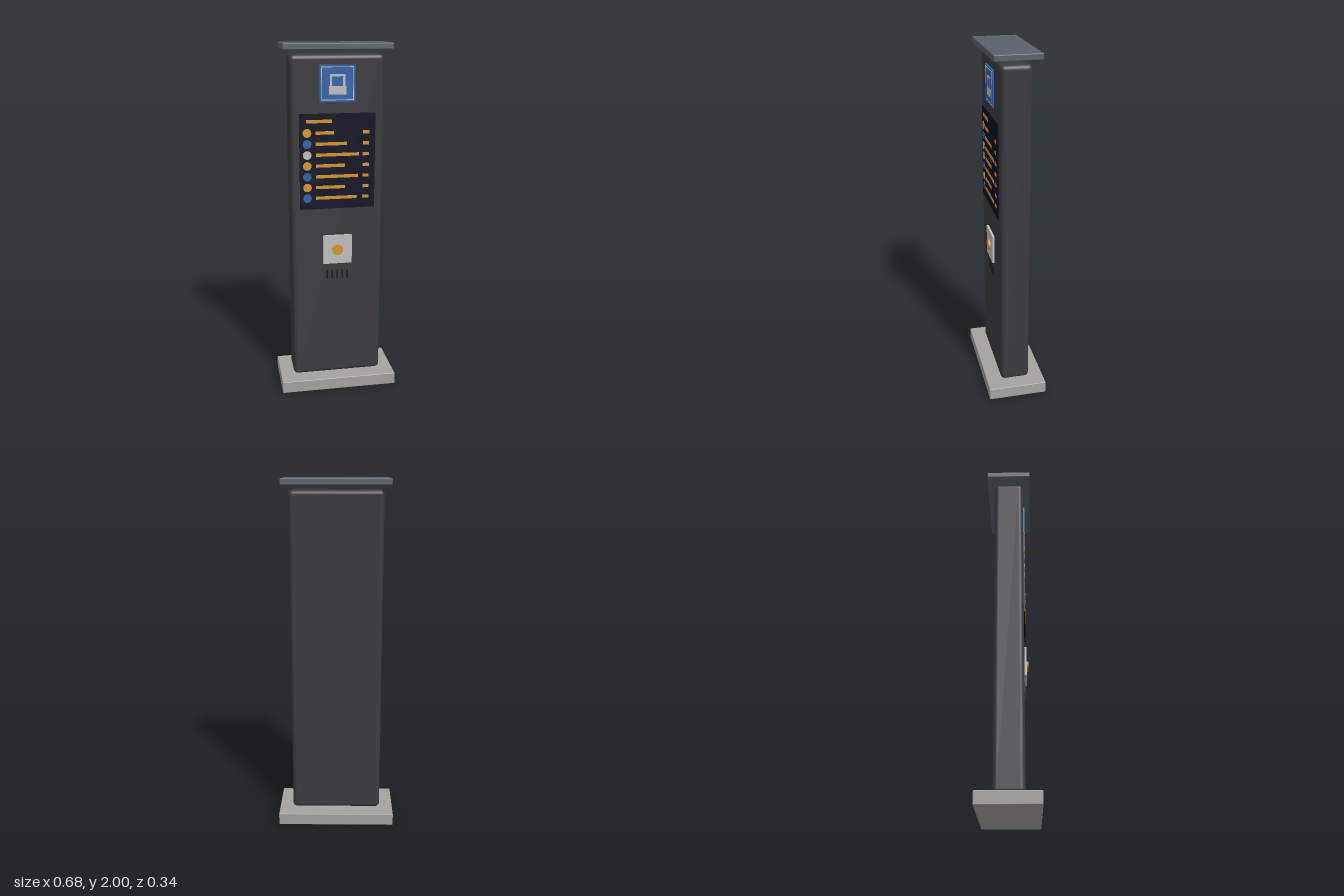
import * as THREE from 'three';
import { RoundedBoxGeometry } from 'three/addons/geometries/RoundedBoxGeometry.js';

const material = (name, color) => {
  const m = new THREE.MeshStandardMaterial({ color });
  m.name = name;
  return m;
};

export function createModel() {
  const group = new THREE.Group();
  group.name = 'informationPillar';
  const charcoal = material('charcoal', 0x3a3a40);
  const slate = material('slate', 0x58626a);
  const concrete = material('concrete', 0xa5a39f);
  const blue = material('blue', 0x2f62a8);
  const navy = material('navy', 0x0b0b22);
  const amber = material('amber', 0xd3962c);
  const silver = material('silver', 0xbfbfbf);
  const black = material('black', 0x1a1a1d);

  const add = (name, geometry, mat, x, y, z) => {
    const mesh = new THREE.Mesh(geometry, mat);
    mesh.name = name;
    mesh.position.set(x, y, z);
    group.add(mesh);
    return mesh;
  };
  // Box given by its x, y and z ranges, with optional rounding
  const box = (name, mat, x0, x1, y0, y1, z0, z1, r = 0) => {
    const size = [x1 - x0, y1 - y0, z1 - z0];
    const geometry = r ? new RoundedBoxGeometry(...size, 4, r) : new THREE.BoxGeometry(...size);
    return add(name, geometry, mat, (x0 + x1) / 2, (y0 + y1) / 2, (z0 + z1) / 2);
  };
  // Disc facing the front
  const disc = (name, mat, x, y, z0, z1, r) => {
    const geometry = new THREE.CylinderGeometry(r, r, z1 - z0, 24).rotateX(Math.PI / 2);
    return add(name, geometry, mat, x, y, (z0 + z1) / 2);
  };

  // Base, body and floating roof plate
  box('base', concrete, -0.338, 0.338, 0, 0.07, -0.169, 0.169, 0.004);
  box('body', charcoal, -0.26, 0.26, 0.07, 1.94, -0.084, 0.084, 0.025);
  box('roof', slate, -0.297, 0.297, 1.966, 2, -0.127, 0.127, 0.005);

  // Blue sign with a pale border and a bus pictogram
  const signZ = 0.093;
  box('sign', blue, -0.098, 0.098, 1.69, 1.887, 0.08, signZ);
  const border = (name, x0, x1, y0, y1) => box(name, silver, x0, x1, y0, y1, signZ - 0.001, signZ + 0.001);
  for (const s of [-1, 1]) {
    border('signBorderSide', s * 0.087 - 0.002, s * 0.087 + 0.002, 1.7, 1.877);
    border('signBorderEdge', -0.089, 0.089, 1.7885 + s * 0.087 - 0.002, 1.7885 + s * 0.087 + 0.002);
  }
  border('busBody', -0.047, 0.047, 1.73, 1.775);
  border('busRoof', -0.042, 0.042, 1.826, 1.838);
  for (const s of [-1, 1]) {
    border('busPillar', s * 0.036 - 0.006, s * 0.036 + 0.006, 1.775, 1.826);
  }

  // Departure screen
  const screenZ = 0.091;
  box('screen', navy, -0.211, 0.211, 1.096, 1.628, 0.08, screenZ);
  const bar = (name, x0, x1, y) => box(name, amber, x0, x1, y - 0.009, y + 0.009, screenZ - 0.001, screenZ + 0.002);
  bar('screenHeading', -0.172, -0.032, 1.587);
  const rows = [
    [amber, -0.021], [blue, 0.053], [silver, 0.12], [amber, 0.042],
    [blue, 0.116], [amber, 0.042], [blue, 0.11],
  ];
  rows.forEach(([mat, end], i) => {
    const y = 1.524 - i * 0.0608;
    disc('lineMarker', mat, -0.169, y, screenZ - 0.001, screenZ + 0.002, 0.024);
    bar('destination', -0.121, end, y);
    bar('departureTime', 0.142, 0.177, y);
  });

  // Call button on its plate, with speaker slots beneath
  box('buttonPlate', silver, -0.083, 0.083, 0.768, 0.937, 0.08, 0.097);
  disc('callButton', amber, 0, 0.852, 0.096, 0.108, 0.031);
  for (let i = -2; i <= 2; i++) {
    box('speakerSlot', black, i * 0.03 - 0.004, i * 0.03 + 0.004, 0.672, 0.725, 0.08, 0.088);
  }
  return group;
}
